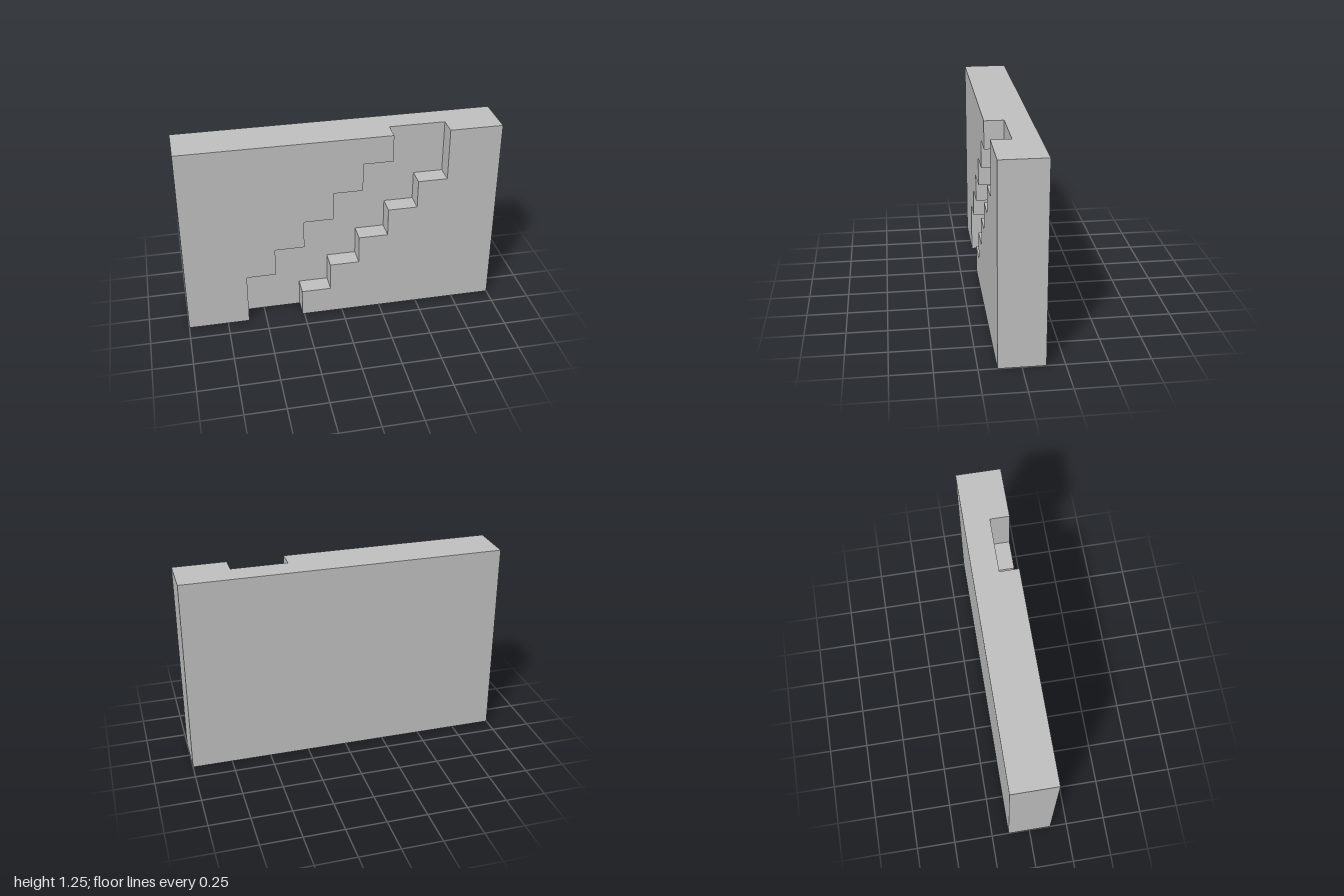
import * as THREE from 'three';

const HEIGHT = 1.245, BACK = -0.14, RECESS = 0.02, FRONT = 0.14;
const STEP_X = 0.186, STEP_Y = 0.183;

// Staircase outline climbing to the right: a riser up to y, then a tread, repeated, then up to the top edge
function stairPoints(x, y, treads) {
  const points = [[x, 0]];
  for (let i = 0; i < treads; i++) {
    points.push([x + i * STEP_X, y + i * STEP_Y], [x + (i + 1) * STEP_X, y + i * STEP_Y]);
  }
  points.push([x + treads * STEP_X, HEIGHT]);
  return points;
}

function slab(name, points, z0, z1, material) {
  const shape = new THREE.Shape(points.map(([x, y]) => new THREE.Vector2(x, y)));
  const geometry = new THREE.ExtrudeGeometry(shape, { depth: z1 - z0, bevelEnabled: false });
  geometry.translate(0, 0, z0);
  const mesh = new THREE.Mesh(geometry, material);
  mesh.name = name;
  return mesh;
}

export function createModel() {
  const group = new THREE.Group();
  group.name = 'wallWithStairRecess';
  const grey = new THREE.MeshStandardMaterial({ color: 0xc0c0c0 });
  grey.name = 'plainGrey';

  // Full-size wall behind the stair-shaped recess
  group.add(slab('backWall', [[-1, 0], [1, 0], [1, HEIGHT], [-1, HEIGHT]], BACK, RECESS, grey));

  // Raised wall above the recess, with the stepped underside
  group.add(slab('upperStepWall',
    [[-1, 0], ...stairPoints(-0.613, 0.338, 5), [-1, HEIGHT]], RECESS, FRONT, grey));

  // Raised wall below the recess, with the stair treads
  group.add(slab('lowerStairWall',
    [...stairPoints(-0.262, 0.178, 5), [1, HEIGHT], [1, 0]], RECESS, FRONT, grey));

  return group;
}
